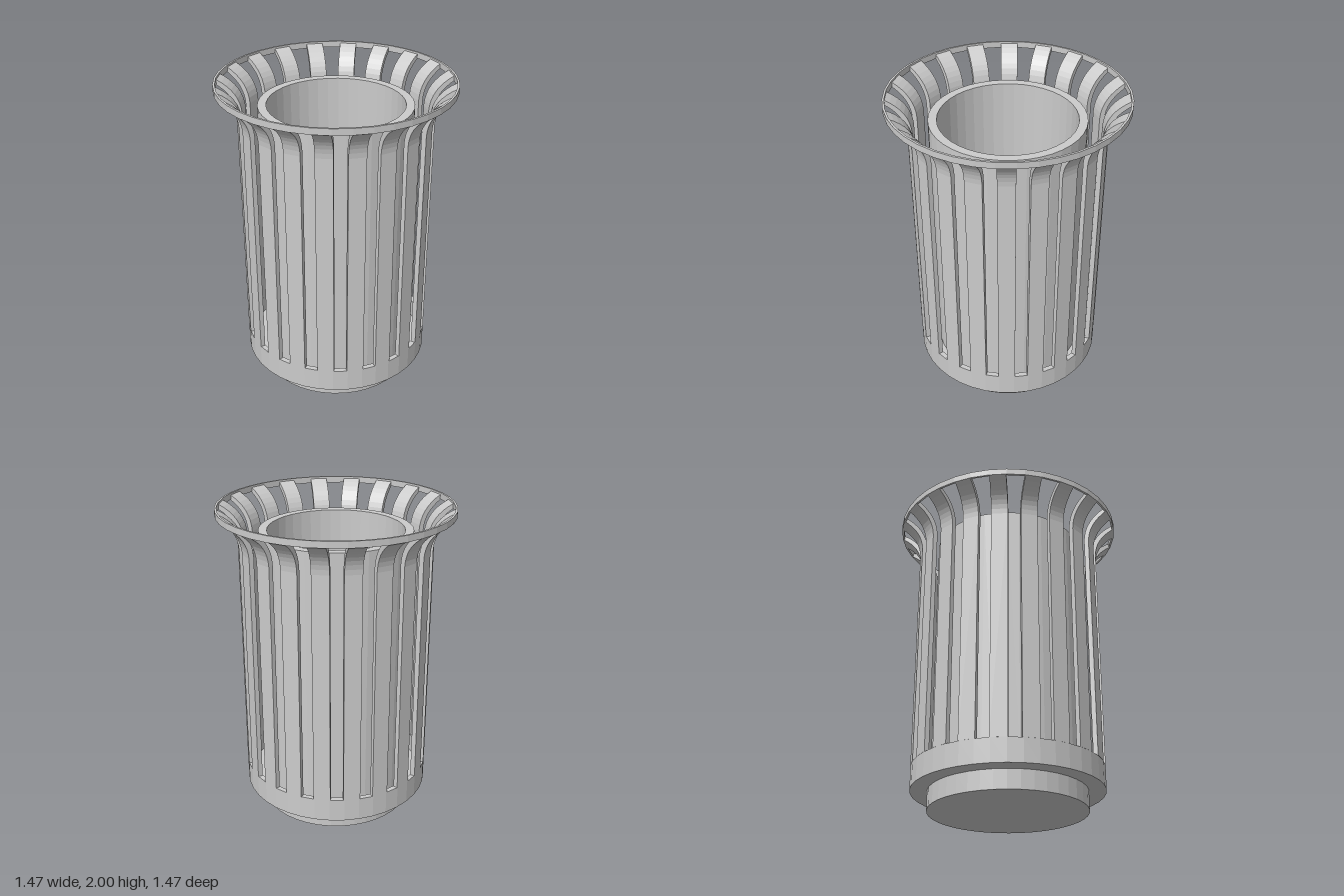
import * as THREE from 'three';

const SLATS = 20;
const SIDES = 40;

export function createModel() {
  const model = new THREE.Group();
  model.name = 'slattedLitterBin';
  const material = new THREE.MeshStandardMaterial({ color: 0xcccccc, flatShading: true });

  function add(name, geometry, parent = model) {
    const mesh = new THREE.Mesh(geometry, material);
    mesh.name = name;
    parent.add(mesh);
    return mesh;
  }

  // Faceted turned part, with a flat facet facing the front
  function turned(name, profile) {
    const points = profile.map(([r, y]) => new THREE.Vector2(r, y));
    const mesh = add(name, new THREE.LatheGeometry(points, SIDES));
    mesh.rotation.y = Math.PI / SIDES;
    return mesh;
  }

  // Plinth the bin stands on
  turned('foot', [[0, 0], [0.495, 0], [0.495, 0.12], [0, 0.12]]);

  // Lower band with a floor, holding the slats
  turned('baseBand', [
    [0, 0.12], [0.601, 0.12], [0.601, 0.27], [0.57, 0.27], [0.57, 0.15], [0, 0.15],
  ]);

  // Open inner bucket
  turned('liner', [
    [0, 0.15], [0.478, 0.15], [0.478, 1.85], [0.425, 1.85], [0.425, 0.18], [0, 0.18],
  ]);

  // Thin rim joining the flared slat tips
  turned('topRim', [
    [0.722, 1.96], [0.735, 1.96], [0.735, 2], [0.722, 2], [0.722, 1.96],
  ]);

  // Slat side profile: upright, then flaring outwards to the rim
  const width = 0.106;
  const profile = new THREE.Shape();
  profile.moveTo(0.57, 0.27);
  profile.lineTo(0.6, 0.27);
  profile.lineTo(0.6, 1.76);
  profile.bezierCurveTo(0.605, 1.85, 0.645, 1.91, 0.728, 1.96);
  profile.lineTo(0.724, 1.99);
  profile.bezierCurveTo(0.625, 1.94, 0.575, 1.87, 0.57, 1.77);
  profile.closePath();
  const slatGeometry = new THREE.ExtrudeGeometry(profile, {
    depth: width, bevelEnabled: false, curveSegments: 8,
  });
  slatGeometry.translate(0, 0, -width / 2);

  const slats = new THREE.Group();
  slats.name = 'slats';
  model.add(slats);
  for (let i = 0; i < SLATS; i++) {
    add('slat', slatGeometry, slats).rotation.y = (i / SLATS) * Math.PI * 2;
  }

  return model;
}
